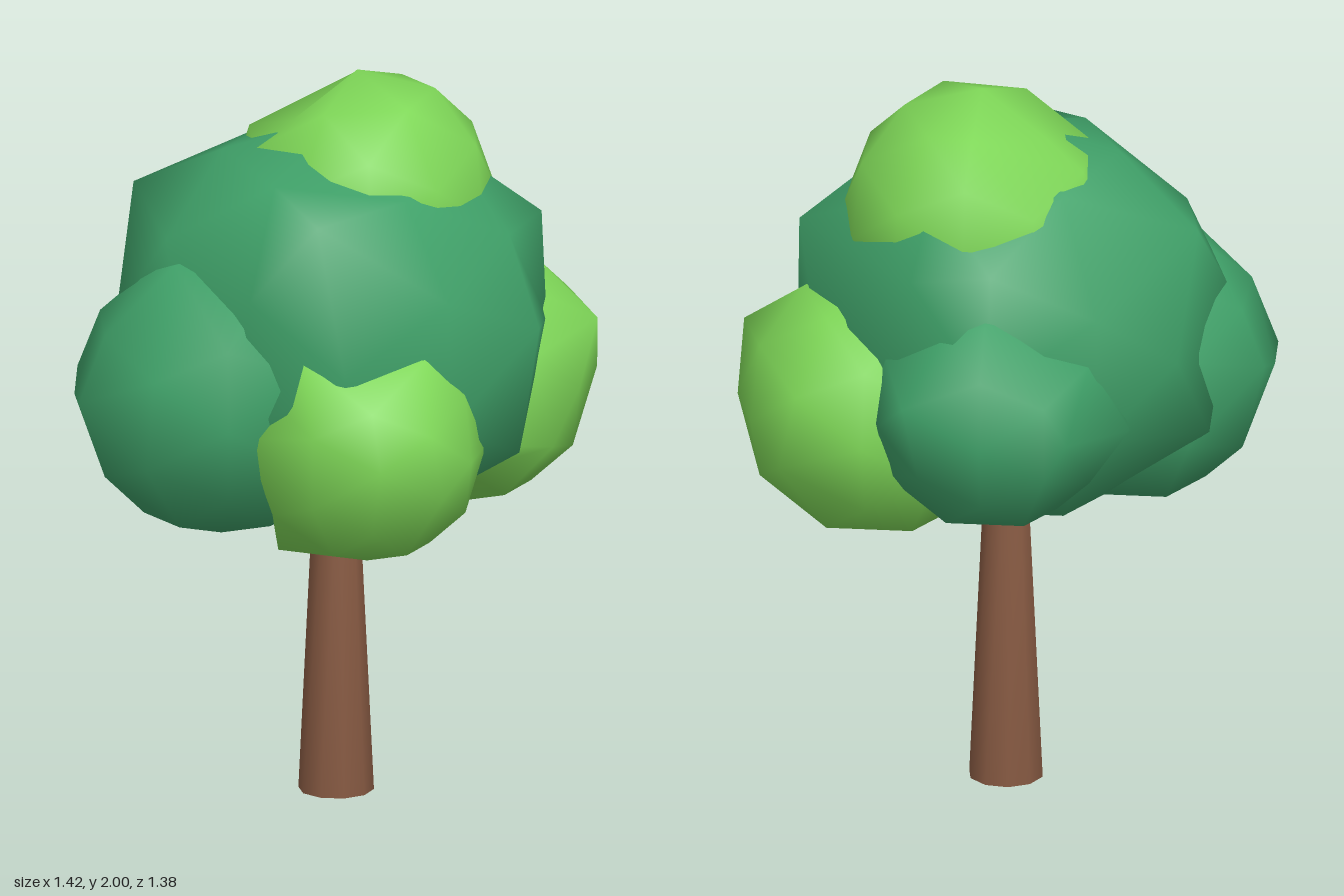
import * as THREE from 'three';
import { mergeVertices } from 'three/addons/utils/BufferGeometryUtils.js';

const material = (name, color) => {
  const m = new THREE.MeshStandardMaterial({ color });
  m.name = name;
  return m;
};

// Joins all corners so that the whole surface shades smoothly
function weld(geometry) {
  geometry.deleteAttribute('normal');
  geometry.deleteAttribute('uv');
  return mergeVertices(geometry, 1e-4);
}

// Smooth low-poly leaf clump; each knob pulls the nearest vertex to a point to make it irregular
function clumpGeometry(radius, center, knobs) {
  const geometry = weld(new THREE.IcosahedronGeometry(radius, 1));
  const pos = geometry.attributes.position;
  const c = new THREE.Vector3(...center);
  const v = new THREE.Vector3();
  const used = new Set();
  for (const knob of knobs) {
    const target = new THREE.Vector3(...knob).sub(c);
    let best = -1, bestAngle = Infinity;
    for (let i = 0; i < pos.count; i++) {
      const angle = v.fromBufferAttribute(pos, i).angleTo(target);
      if (!used.has(i) && angle < bestAngle) { best = i; bestAngle = angle; }
    }
    used.add(best);
    pos.setXYZ(best, target.x, target.y, target.z);
  }
  geometry.computeVertexNormals();
  return geometry;
}

export function createModel() {
  const bark = material('bark brown', 0x8a5c44);
  const dark = material('deep leaf green', 0x3fa068);
  const light = material('bright leaf green', 0x7ed657);
  const tree = new THREE.Group();
  tree.name = 'tree';

  // Tapered trunk, running up into the crown
  const trunkGeometry = weld(new THREE.CylinderGeometry(0.054, 0.102, 1.0, 10));
  trunkGeometry.computeVertexNormals();
  const trunk = new THREE.Mesh(trunkGeometry, bark);
  trunk.name = 'trunk';
  trunk.position.set(-0.004, 0.5, -0.015);
  trunk.rotation.y = Math.PI / 20;
  tree.add(trunk);

  // Crown clumps: name, colour, radius, centre, knobs
  const clumps = [
    ['mainCrown', dark, 0.57, [-0.01, 1.32, 0.01], [
      [-0.54, 1.66, -0.18], [-0.6, 1.38, 0.1], [0.55, 1.6, -0.05], [0.47, 1.04, 0.34],
      [-0.08, 1.72, 0.49], [0.2, 1.62, -0.53], [0.17, 1.73, 0.28], [-0.44, 1.3, 0.25],
      [-0.26, 1.5, 0.44], [0.53, 1.35, 0.22], [-0.57, 1.08, -0.18]]],
    ['topClump', light, 0.37, [0.07, 1.63, -0.06], [
      [0.055, 2.0, -0.06], [-0.12, 1.86, -0.06], [0.06, 1.93, -0.27], [0.18, 1.94, 0.13]]],
    ['leftDarkClump', dark, 0.395, [-0.32, 1.16, 0.13], [
      [-0.71, 1.17, 0.26], [-0.7, 1.2, 0.0], [-0.54, 1.05, 0.5], [-0.45, 1.55, 0.24],
      [-0.12, 1.32, 0.5], [-0.22, 1.5, 0.4]]],
    ['frontClump', light, 0.32, [0.06, 1.07, 0.36], [
      [0.08, 1.09, 0.69], [0.25, 1.0, 0.64], [0.21, 1.35, 0.5], [-0.12, 1.36, 0.52],
      [-0.27, 1.13, 0.47], [-0.18, 0.79, 0.38]]],
    ['sideClump', light, 0.375, [0.33, 1.13, -0.16], [
      [0.7, 1.3, -0.04], [0.56, 1.05, -0.49], [0.57, 1.0, 0.16], [0.35, 1.03, 0.24]]],
    ['backClump', dark, 0.34, [0.0, 1.2, -0.35], [
      [0.21, 1.3, -0.65], [-0.23, 1.2, -0.62], [0.0, 1.5, -0.53], [-0.38, 1.17, -0.41]]],
  ];
  for (const [name, mat, radius, center, knobs] of clumps) {
    const mesh = new THREE.Mesh(clumpGeometry(radius, center, knobs), mat);
    mesh.name = name;
    mesh.position.set(...center);
    tree.add(mesh);
  }
  return tree;
}
